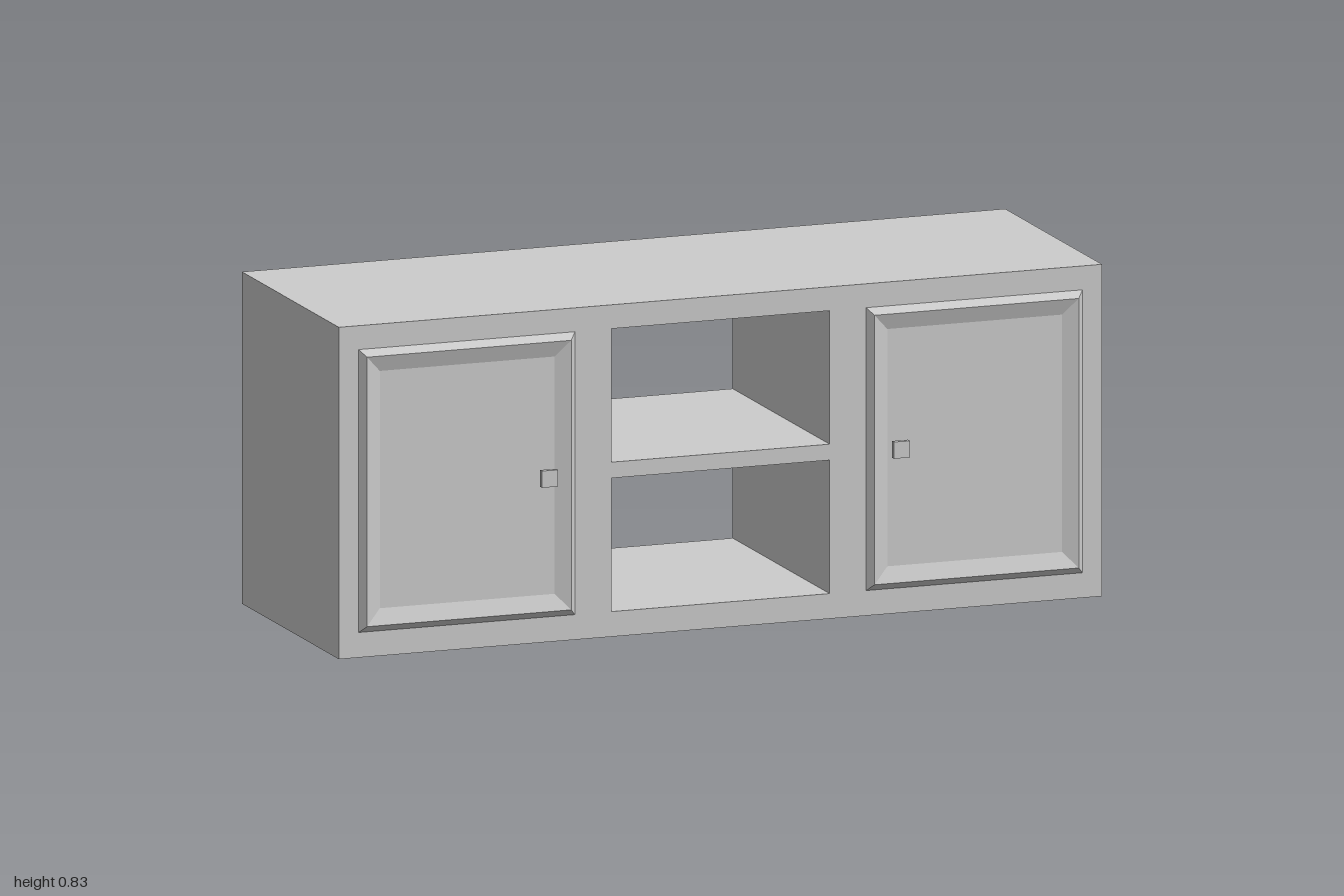
import * as THREE from 'three';

const material = new THREE.MeshStandardMaterial({ color: 0xcccccc, flatShading: true });
const BACK = -0.354, FRONT = 0.315;

function rectPath(PathType, x0, x1, y0, y1) {
  const p = new PathType();
  p.moveTo(x0, y0);
  p.lineTo(x1, y0);
  p.lineTo(x1, y1);
  p.lineTo(x0, y1);
  p.closePath();
  return p;
}

function addBox(parent, name, w, h, d, x, y, z) {
  const mesh = new THREE.Mesh(new THREE.BoxGeometry(w, h, d), material);
  mesh.name = name;
  mesh.position.set(x, y, z);
  parent.add(mesh);
}

// Raised rim and sunken panel, lofted through inset rectangles
function doorGeometry(w, h) {
  const rings = [[0, 0], [0.016, 0.017], [0.0545, 0.003]].map(([inset, z]) => {
    const x = w / 2 - inset, y = h / 2 - inset * 1.05;
    return [[-x, -y, z], [x, -y, z], [x, y, z], [-x, y, z]];
  });
  const pos = [];
  const quad = (a, b, c, d) => pos.push(...a, ...b, ...c, ...a, ...c, ...d);
  for (let r = 0; r < rings.length - 1; r++) {
    for (let i = 0; i < 4; i++) {
      const j = (i + 1) % 4;
      quad(rings[r][i], rings[r][j], rings[r + 1][j], rings[r + 1][i]);
    }
  }
  quad(...rings[rings.length - 1]);
  const geo = new THREE.BufferGeometry();
  geo.setAttribute('position', new THREE.Float32BufferAttribute(pos, 3));
  geo.computeVertexNormals();
  return geo;
}

export function createModel() {
  const model = new THREE.Group();
  model.name = 'mediaCabinet';

  // Cabinet body with two open shelves running right through
  const outline = rectPath(THREE.Shape, -1, 1, 0, 0.833);
  for (const [y0, y1] of [[0.063, 0.398], [0.438, 0.773]]) {
    outline.holes.push(rectPath(THREE.Path, -0.286, 0.286, y0, y1));
  }
  const bodyGeo = new THREE.ExtrudeGeometry(outline, { depth: FRONT - BACK, bevelEnabled: false });
  bodyGeo.translate(0, 0, BACK);
  const body = new THREE.Mesh(bodyGeo, material);
  body.name = 'cabinetBody';
  model.add(body);

  // Mirrored doors with square knobs
  for (const side of [-1, 1]) {
    const door = new THREE.Group();
    door.name = side > 0 ? 'leftDoor' : 'rightDoor';
    door.position.set(side * 0.665, 0.418, FRONT);
    const panel = new THREE.Mesh(doorGeometry(0.567, 0.71), material);
    panel.name = 'doorPanel';
    door.add(panel);
    const knobX = -side * 0.204;
    addBox(door, 'knobStem', 0.021, 0.021, 0.025, knobX, 0, 0.0125);
    addBox(door, 'knobPlate', 0.042, 0.042, 0.013, knobX, 0, 0.0315);
    model.add(door);
  }
  return model;
}
